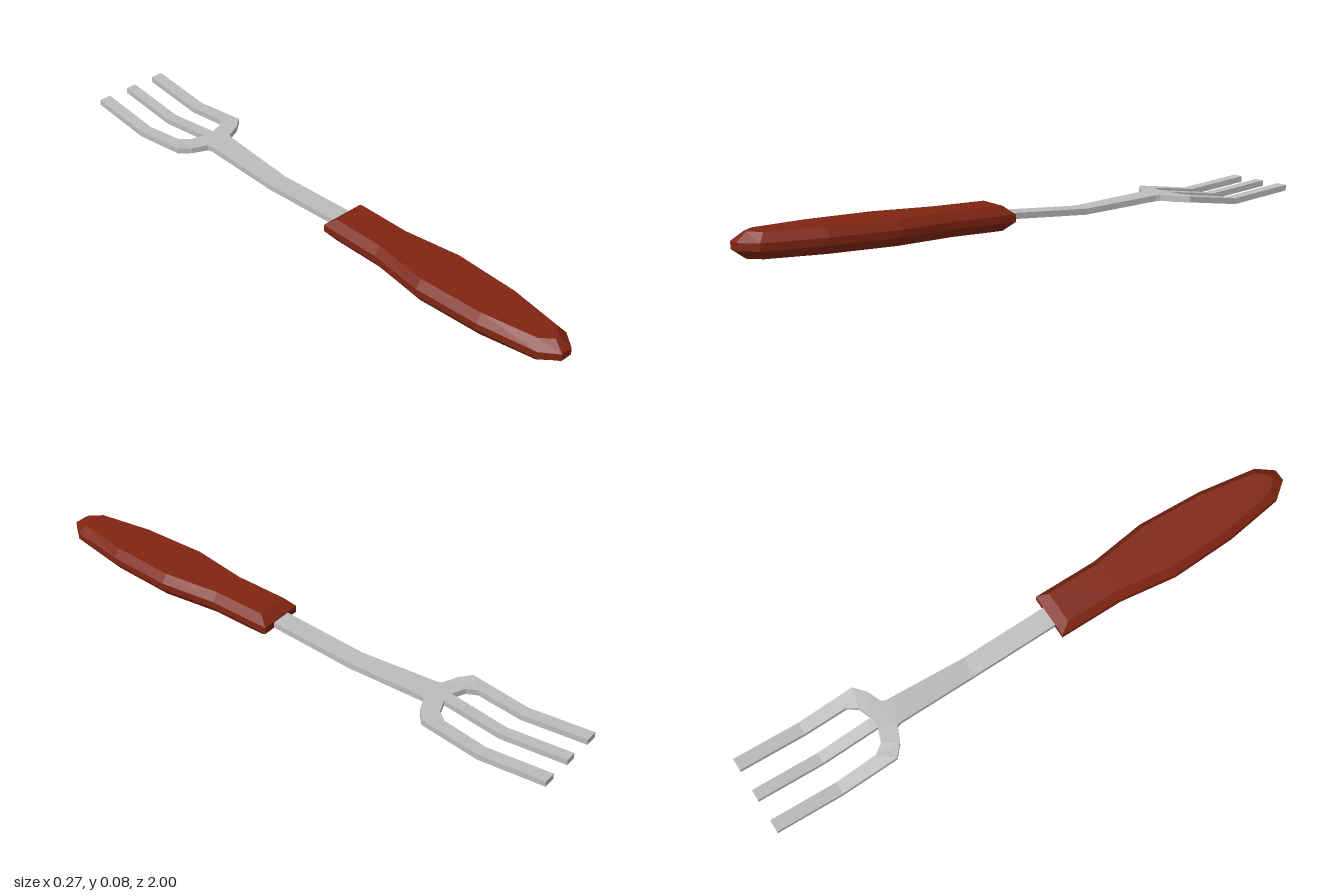
import * as THREE from 'three';

// Flat-shaded skin over matching rings. Each ring runs right-bottom, up, then left and down;
// rings advance towards +z. Both ends are closed.
function loft(rings, name, material) {
  const pos = [];
  const quad = (a, b, c, d) => [a, b, c, a, c, d].forEach((p) => pos.push(...p));
  const n = rings[0].length;
  for (let k = 0; k < rings.length - 1; k++) {
    const r = rings[k], s = rings[k + 1];
    for (let i = 0; i < n; i++) {
      const j = (i + 1) % n;
      quad(r[i], r[j], s[j], s[i]);
    }
  }
  const first = rings[0], last = rings[rings.length - 1];
  for (let i = 0; i < n / 2 - 1; i++) {
    quad(first[n - 1 - i], first[n - 2 - i], first[i + 1], first[i]);
    quad(last[i], last[i + 1], last[n - 2 - i], last[n - 1 - i]);
  }
  const geometry = new THREE.BufferGeometry();
  geometry.setAttribute('position', new THREE.Float32BufferAttribute(pos, 3));
  geometry.computeVertexNormals();
  const mesh = new THREE.Mesh(geometry, material);
  mesh.name = name;
  return mesh;
}

// Underside height of the bent metal along z
const BENDS = [[-1, 0.037], [-0.77, 0.011], [-0.57, 0.036], [-0.51, 0.034], [-0.22, 0.014], [0.12, 0.031]];
function metalHeight(z) {
  for (let i = 1; i < BENDS.length; i++) {
    const [z0, y0] = BENDS[i - 1], [z1, y1] = BENDS[i];
    if (z <= z1) return y0 + ((y1 - y0) * (z - z0)) / (z1 - z0);
  }
  return BENDS[BENDS.length - 1][1];
}

// Metal strip through pairs of [x, z] points (left edge, right edge)
function strip(pairs, name, material) {
  const t = 0.02;
  const point = ([x, z], up) => [x, metalHeight(z) + up, z];
  const rings = pairs.map(([l, r]) => [point(r, 0), point(r, t), point(l, t), point(l, 0)]);
  return loft(rings, name, material);
}

export function createModel() {
  const group = new THREE.Group();
  group.name = 'handFork';
  const wood = new THREE.MeshStandardMaterial({ color: 0x802512 });
  wood.name = 'redBrownHandle';
  const steel = new THREE.MeshStandardMaterial({ color: 0xbcbcbc });
  steel.name = 'greySteel';

  // Handle: bevelled grip, [outer z, outer half width, face z, face half width]
  const grip = [
    [0.085, 0.078, 0.12, 0.056],
    [0.31, 0.078, 0.31, 0.056],
    [0.51, 0.105, 0.51, 0.084],
    [0.74, 0.095, 0.74, 0.074],
    [0.945, 0.064, 0.925, 0.042],
    [1.0, 0.021, 0.963, 0.008],
  ];
  group.add(loft(grip.map(([z, w, fz, fw]) => {
    const right = [[fw, 0, fz], [w, 0.028, z], [w, 0.052, z], [fw, 0.08, fz]];
    const left = right.map(([x, y, d]) => [-x, y, d]).reverse();
    return [...right, ...left];
  }), 'handle', wood));

  // Shaft running into the middle tine: [z, half width]
  const shaft = [[-1, 0.019], [-0.77, 0.019], [-0.57, 0.02], [-0.515, 0.048],
    [-0.5, 0.043], [-0.22, 0.035], [0.12, 0.035]];
  group.add(strip(shaft.map(([z, w]) => [[-w, z], [w, z]]), 'shaftAndMiddleTine', steel));

  // Outer tines with their curved shoulders: inner edge, outer edge
  const tine = [
    [[0.094, -1], [0.137, -1]],
    [[0.094, -0.77], [0.137, -0.77]],
    [[0.091, -0.62], [0.137, -0.57]],
    [[0.068, -0.588], [0.1, -0.538]],
    [[0.02, -0.57], [0.048, -0.515]],
  ];
  const mirrored = tine.map(([a, b]) => [[-b[0], b[1]], [-a[0], a[1]]]);
  group.add(strip(tine, 'leftTine', steel));
  group.add(strip(mirrored, 'rightTine', steel));

  return group;
}
